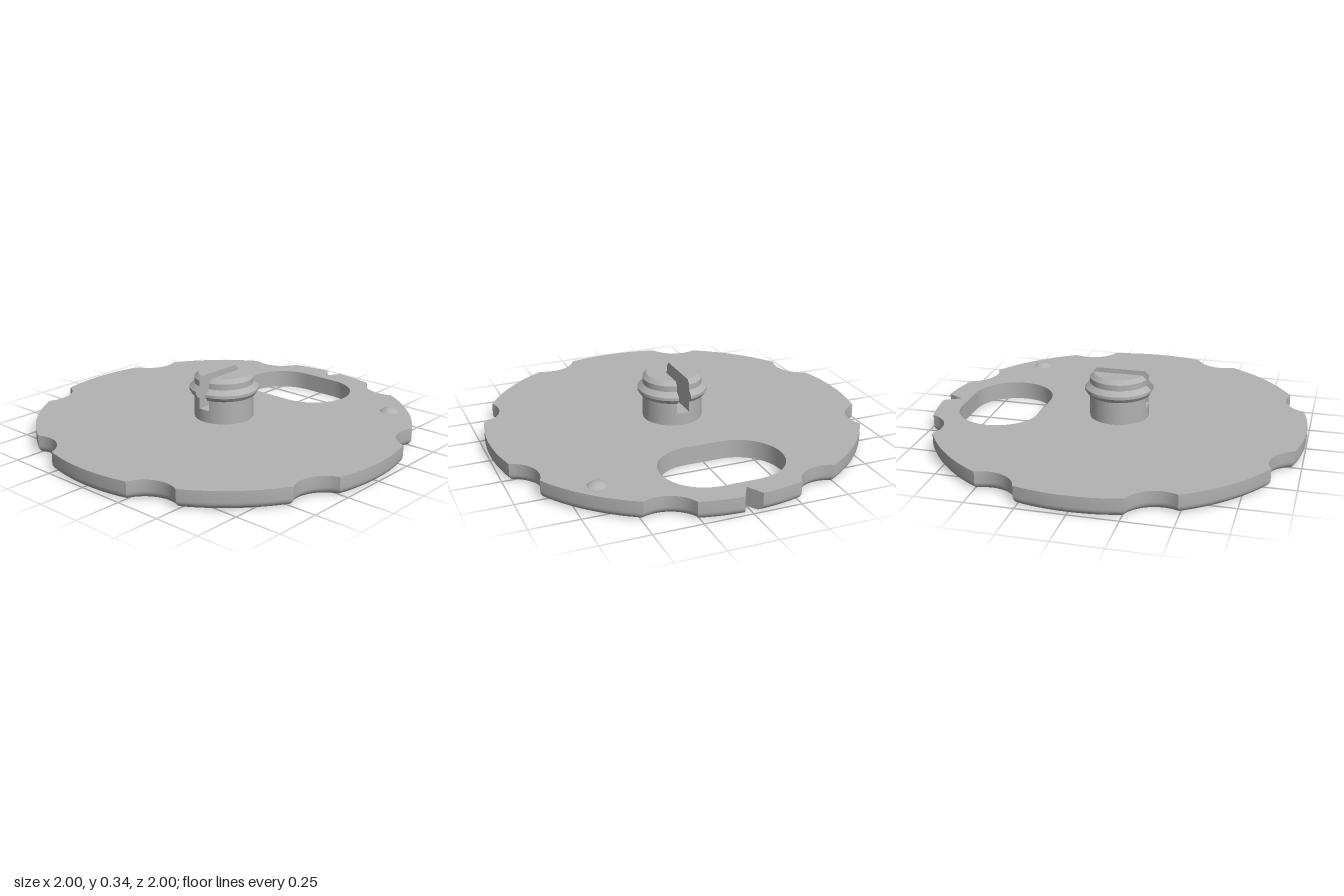
import * as THREE from 'three';
import { mergeGeometries, toCreasedNormals } from 'three/addons/utils/BufferGeometryUtils.js';

const TOP = 0.098;        // plate thickness
const FILLET = 0.04;      // rounding under the plate's rim
const SLOT = 0.034;       // half width of the screwdriver slot
const SLOT_FLOOR = 0.165;

const fromTriangles = (positions) => {
  const g = new THREE.BufferGeometry();
  g.setAttribute('position', new THREE.Float32BufferAttribute(positions, 3));
  g.computeVertexNormals();
  return g;
};

// Points along an arc in the (x, z) plane
function arc(cx, cz, r, from, to, n) {
  return Array.from({ length: n + 1 }, (_, i) => {
    const a = from + (to - from) * i / n;
    return new THREE.Vector2(cx + r * Math.cos(a), cz + r * Math.sin(a));
  });
}

// Wall joining closed outlines { y, pts } listed from bottom to top
function wall(rings) {
  const out = [];
  for (let k = 0; k < rings.length - 1; k++) {
    const lo = rings[k], hi = rings[k + 1], n = lo.pts.length;
    for (let i = 0; i < n; i++) {
      const j = (i + 1) % n;
      const a = [lo.pts[i].x, lo.y, lo.pts[i].y], b = [lo.pts[j].x, lo.y, lo.pts[j].y];
      const c = [hi.pts[j].x, hi.y, hi.pts[j].y], d = [hi.pts[i].x, hi.y, hi.pts[i].y];
      out.push(...a, ...d, ...c, ...a, ...c, ...b);
    }
  }
  return toCreasedNormals(fromTriangles(out), 0.5);
}

// Flat face filling an outline, facing up or down
function cap(pts, y, up, holes = []) {
  const all = [...pts, ...holes.flat()], out = [];
  for (const [i, j, k] of THREE.ShapeUtils.triangulateShape([...pts], holes.map((h) => [...h]))) {
    const a = all[i];
    let b = all[j], c = all[k];
    const facesUp = (b.y - a.y) * (c.x - a.x) - (b.x - a.x) * (c.y - a.y) > 0;
    if (facesUp !== up) [b, c] = [c, b];
    for (const p of [a, b, c]) out.push(p.x, y, p.y);
  }
  return fromTriangles(out);
}

// Rim with eight scallops and one V notch at the back, shrunk by an inset
function rimOutline(inset) {
  const R = 1 - inset, r = 0.16 + inset, d = 1.095, step = Math.PI / 4;
  const phi = Math.acos((d * d + R * R - r * r) / (2 * d * R));
  const psi = Math.acos((d * d + r * r - R * R) / (2 * d * r));
  const tip = 0.915, back = -Math.PI / 2;
  const beta = Math.asin(0.047 * (R - tip) / (1 - tip) / R);
  const pts = [];
  for (let j = 0; j < 8; j++) {
    const start = back + (j - 0.5) * step, end = start + step;
    if (j === 0) {
      pts.push(...arc(0, 0, R, start + phi, back - beta, 8), new THREE.Vector2(0, -tip),
        ...arc(0, 0, R, back + beta, end - phi, 8));
    } else {
      pts.push(...arc(0, 0, R, start + phi, end - phi, 16));
    }
    const inward = end + Math.PI;
    pts.push(...arc(d * Math.cos(end), d * Math.sin(end), r, inward + psi, inward - psi, 14).slice(1, -1));
  }
  return pts;
}

function plateGeometry() {
  const rings = [];
  for (let i = 0; i <= 6; i++) {
    const a = i / 6 * Math.PI / 2;
    rings.push({ y: FILLET * (1 - Math.cos(a)), pts: rimOutline(FILLET * (1 - Math.sin(a))) });
  }
  rings.push({ y: TOP, pts: rimOutline(0) });
  // Oblong window
  const q = Math.PI / 2;
  const hole = [...arc(0.1, -0.643, 0.222, -q, q, 24), ...arc(-0.1, -0.643, 0.222, q, 3 * q, 24)];
  const inner = [...hole].reverse();
  return mergeGeometries([
    wall(rings),
    wall([{ y: 0, pts: inner }, { y: TOP, pts: inner }]),
    cap(rings[0].pts, 0, false, [hole]),
    cap(rings.at(-1).pts, TOP, true, [hole]),
  ]);
}

// One half of the stud head, cut flat along the slot
function studHalfGeometry() {
  const profile = [[0.158, SLOT_FLOOR], [0.158, 0.224], [0.17, 0.226], [0.184, 0.247], [0.184, 0.262],
    [0.158, 0.287], [0.158, 0.318], [0.137, 0.34]];
  const rings = profile.map(([r, y]) => {
    const a = Math.acos(SLOT / r);
    return { y, pts: arc(0, 0, r, -a, a, 36) };
  });
  return mergeGeometries([wall(rings), cap(rings.at(-1).pts, 0.34, true)]);
}

export function createModel() {
  const group = new THREE.Group();
  const grey = new THREE.MeshStandardMaterial({ color: 0xb2b2b2 });
  grey.name = 'plain grey';
  const add = (name, geometry) => {
    const mesh = new THREE.Mesh(geometry, grey);
    mesh.name = name;
    group.add(mesh);
    return mesh;
  };

  add('plate', plateGeometry());

  // Slotted stud in the centre
  const base = add('studBase', new THREE.CylinderGeometry(0.158, 0.158, SLOT_FLOOR - TOP, 72));
  base.position.y = (SLOT_FLOOR + TOP) / 2;
  const half = studHalfGeometry();
  add('studHalfLeft', half);
  add('studHalfRight', half).rotation.y = Math.PI;

  // Low domed marker bump: a spherical cap 0.05 wide and 0.02 high
  const R = 0.0725;
  const bump = add('markerBump', new THREE.SphereGeometry(R, 32, 8, 0, Math.PI * 2, 0, Math.asin(0.05 / R)));
  bump.position.set(0.635, TOP + 0.02 - R, -0.64);

  return group;
}
